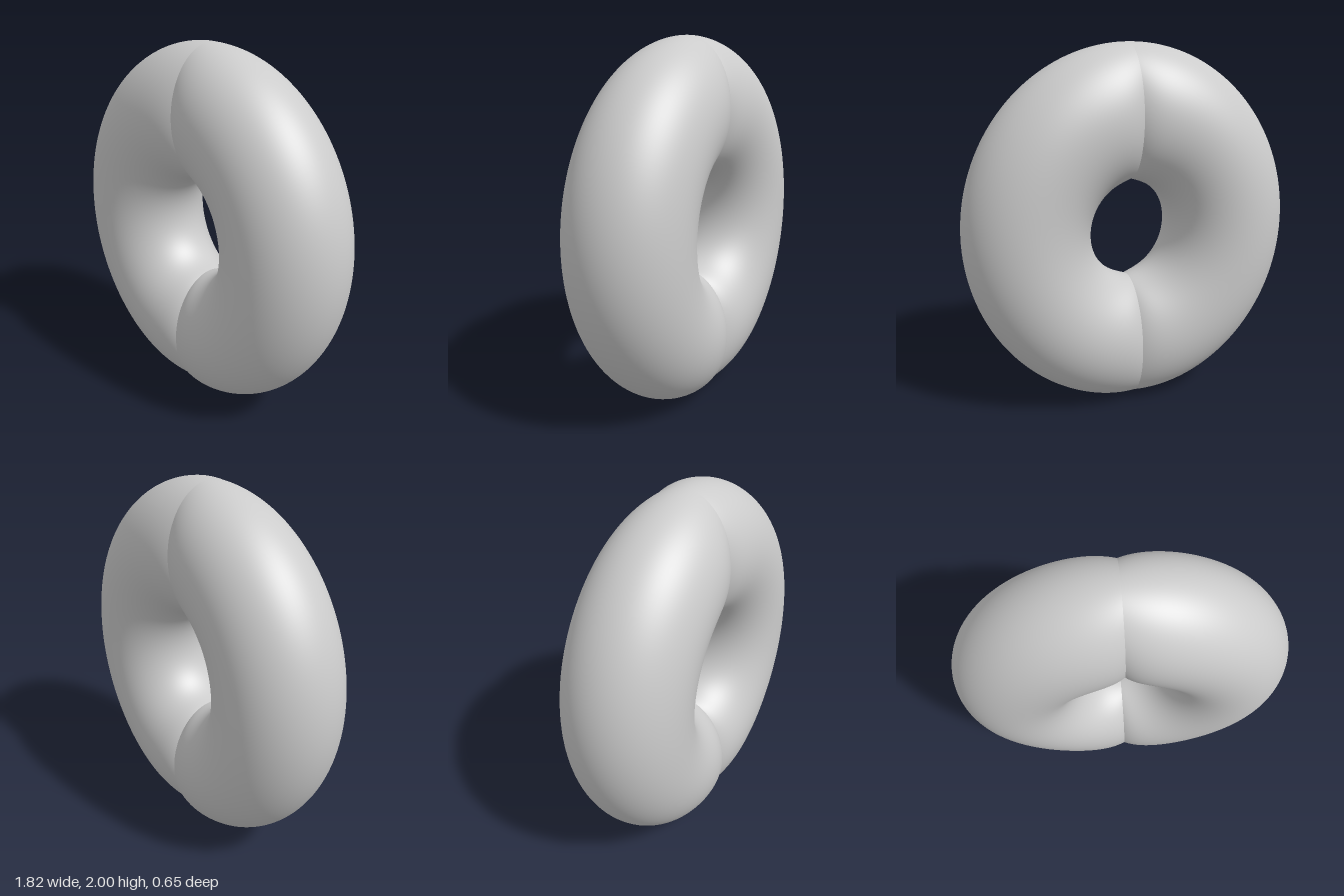
import * as THREE from 'three';

const ALONG = 112; // steps from the top seam to the bottom seam
const AROUND = 96; // steps around the tube

// Half of the ring: elliptical cross-sections swept from top to bottom,
// pinched where they meet the seam
function halfRingGeometry() {
  const positions = [];
  const indices = [];
  for (let i = 0; i <= ALONG; i++) {
    // steps are finer next to the seams
    const t = (2 * i) / ALONG - 1;
    const u = (Math.PI / 2) * Math.pow(1 - Math.abs(t), 1.6);
    const side = t <= 0 ? 1 : -1;
    const sin = Math.sin(u);
    const cos = Math.cos(u);

    const outerX = 0.91 * sin;
    const outerY = cos;
    const innerX = 0.228 * sin;
    const innerY = 0.27 * cos + 0.015 * Math.exp(-u / 0.2);
    const depth = 0.26 + 0.05 * (1 - Math.exp(-u / 0.16)) + 0.015 * sin;

    for (let j = 0; j < AROUND; j++) {
      const v = (j / AROUND) * Math.PI * 2;
      const k = (1 + Math.cos(v)) / 2; // 0 at the hole, 1 at the rim
      positions.push(
        innerX + (outerX - innerX) * k,
        1 + side * (innerY + (outerY - innerY) * k),
        depth * Math.sin(v)
      );
      if (i < ALONG) {
        const a = i * AROUND + j;
        const b = i * AROUND + ((j + 1) % AROUND);
        indices.push(a, b, a + AROUND, b, b + AROUND, a + AROUND);
      }
    }
  }
  const geometry = new THREE.BufferGeometry();
  geometry.setAttribute('position', new THREE.Float32BufferAttribute(positions, 3));
  geometry.setIndex(indices);
  geometry.computeVertexNormals();
  return geometry;
}

export function createModel() {
  const group = new THREE.Group();
  group.name = 'creasedRing';
  const material = new THREE.MeshStandardMaterial({ color: 0xcccccc });
  const geometry = halfRingGeometry();

  // Two separate halves keep the seam sharp
  const leftHalf = new THREE.Mesh(geometry, material);
  leftHalf.name = 'leftHalf';
  const rightHalf = new THREE.Mesh(geometry, material);
  rightHalf.name = 'rightHalf';
  rightHalf.rotation.y = Math.PI;
  group.add(leftHalf, rightHalf);
  return group;
}
